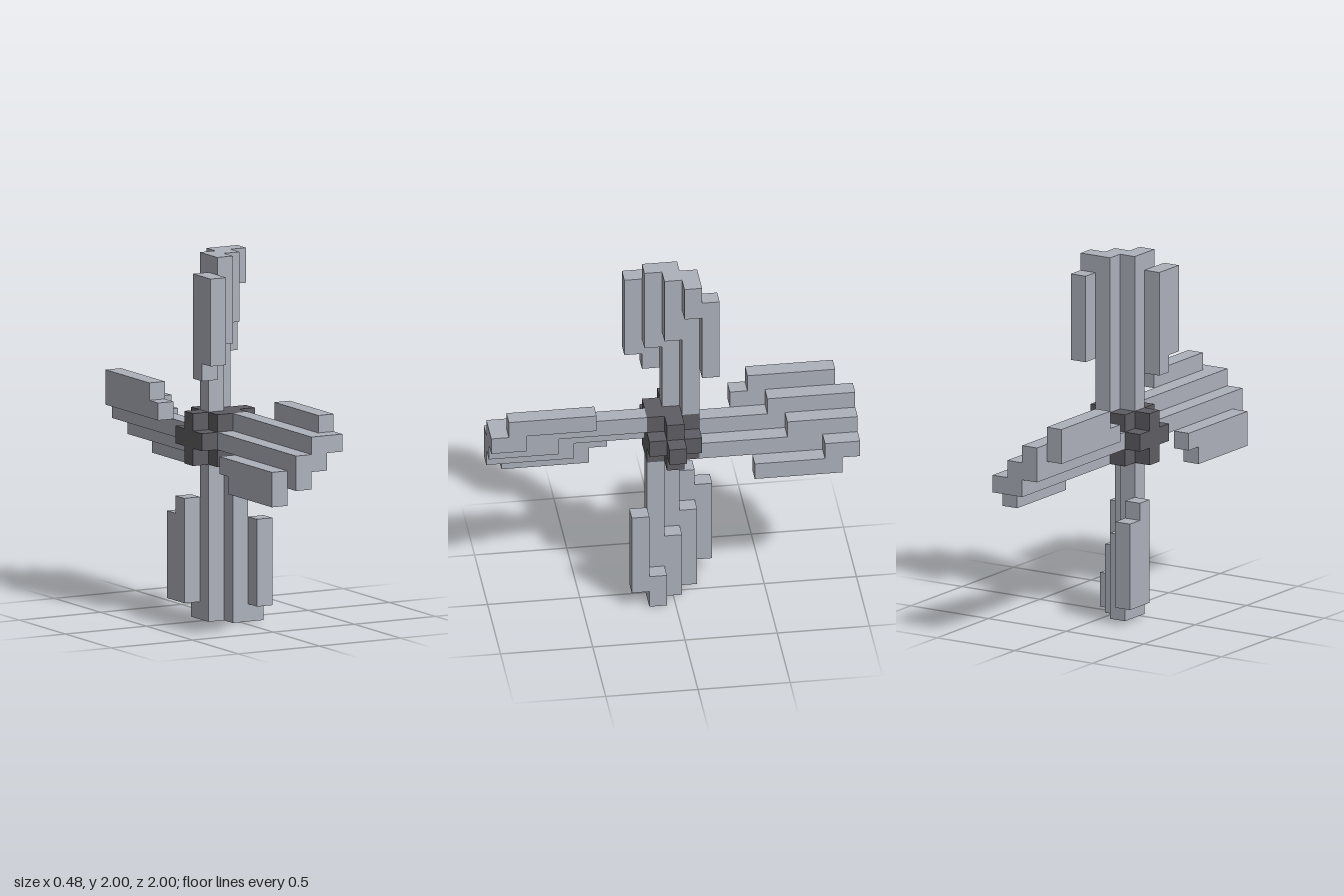
import * as THREE from 'three';

const U = 2 / 21; // edge of one block

// Box filling an inclusive range of block cells
function block(name, material, [x0, x1], [y0, y1], [z0, z1]) {
  const mesh = new THREE.Mesh(
    new THREE.BoxGeometry((x1 - x0 + 1) * U, (y1 - y0 + 1) * U, (z1 - z0 + 1) * U), material);
  mesh.position.set((x0 + x1) * U / 2, (y0 + y1) * U / 2, (z0 + z1) * U / 2);
  mesh.name = name;
  return mesh;
}

// Blade along +z: stepped slats, each [x, row in y, first z, last z]
function createBlade(material) {
  const slats = [
    [1, 2, 5, 9],
    [1, 1, 9, 10], [0, 1, 2, 10],
    [0, 0, 7, 10], [-1, 0, 2, 10],
    [-1, -1, 6, 10], [-2, -1, 4, 9],
    [-2, -2, 5, 9],
  ];
  const blade = new THREE.Group();
  for (const [x, y, z0, z1] of slats) {
    blade.add(block('bladeSlat', material, [x, x], [y, y], [z0, z1]));
  }
  return blade;
}

// Hub: square core, a cross-shaped plate on each side and a nose
function createHub(material) {
  const hub = new THREE.Group();
  hub.name = 'hub';
  hub.add(block('hubCore', material, [-1, 0], [-1, 1], [-1, 1]));
  for (const x of [-2, 1]) {
    hub.add(block('hubCrossBar', material, [x, x], [-1, 1], [0, 0]));
    for (const z of [-1, 1]) hub.add(block('hubCrossArm', material, [x, x], [0, 0], [z, z]));
  }
  hub.add(block('hubNose', material, [2, 2], [0, 0], [0, 0]));
  return hub;
}

export function createModel() {
  const bladeGrey = new THREE.MeshStandardMaterial({ color: 0xadb1bb });
  bladeGrey.name = 'bladeGrey';
  const hubGrey = new THREE.MeshStandardMaterial({ color: 0x5e5d63 });
  hubGrey.name = 'hubGrey';

  const model = new THREE.Group();
  model.name = 'propeller';
  model.add(createHub(hubGrey));

  // Four blades turned about the shaft
  ['frontBlade', 'topBlade', 'backBlade', 'bottomBlade'].forEach((name, i) => {
    const blade = createBlade(bladeGrey);
    blade.name = name;
    blade.rotation.x = -i * Math.PI / 2;
    model.add(blade);
  });

  model.position.y = 1;
  const root = new THREE.Group();
  root.add(model);
  return root;
}
